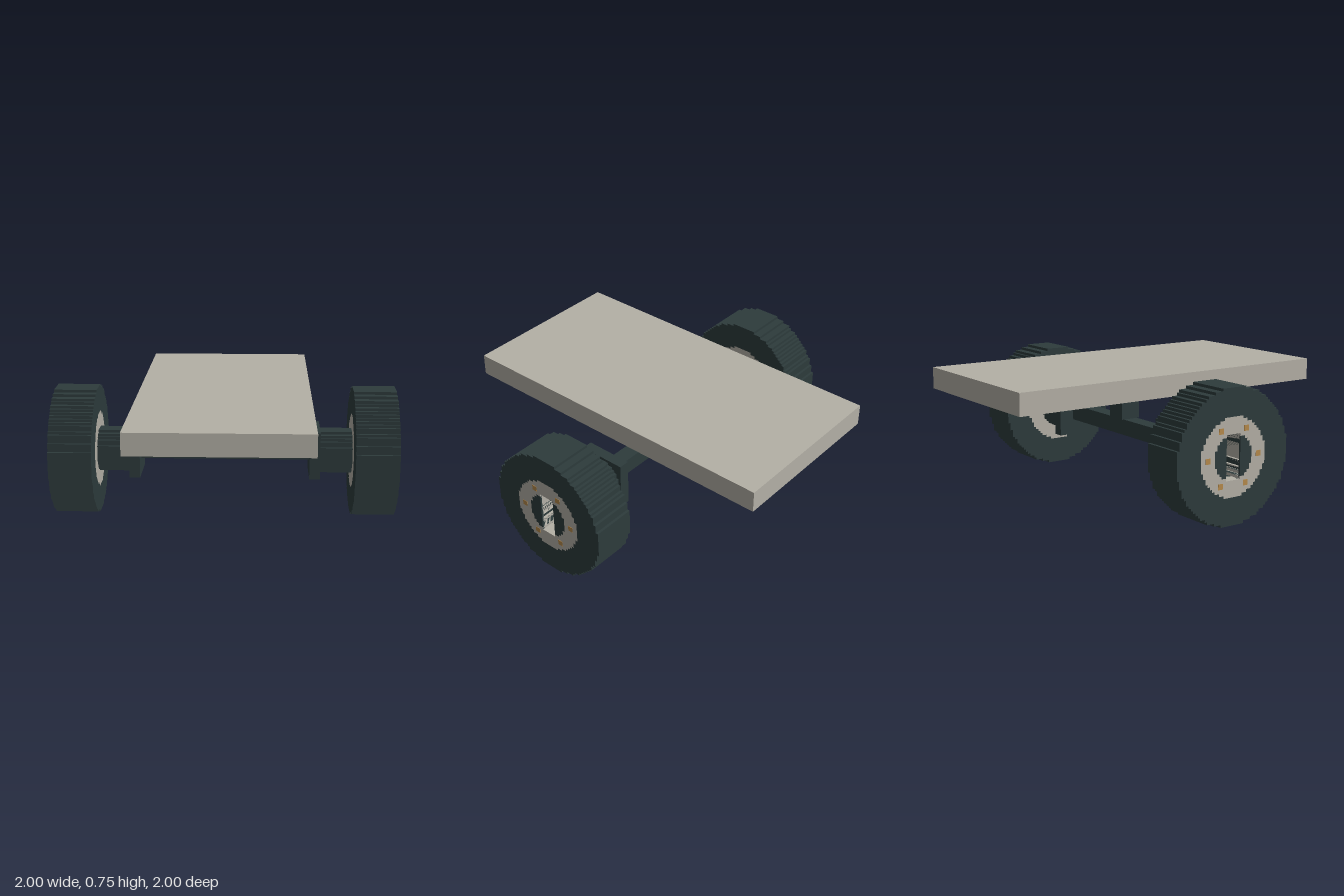
import * as THREE from 'three';

const U = 1 / 64; // block unit
const AXIS_Y = 24 * U;

const dark = new THREE.MeshStandardMaterial({ color: 0x2d3b3c, side: THREE.DoubleSide });
dark.name = 'darkRubber';
const pale = new THREE.MeshStandardMaterial({ color: 0xb4b0a6 });
pale.name = 'paleStone';
const gold = new THREE.MeshStandardMaterial({ color: 0xb58a4c });
gold.name = 'goldBolt';

function mesh(name, geometry, material) {
  const m = new THREE.Mesh(geometry, material);
  m.name = name;
  return m;
}

function box(name, w, h, d, x, y, z, material) {
  const m = mesh(name, new THREE.BoxGeometry(w, h, d), material);
  m.position.set(x, y, z);
  return m;
}

// Half outline of a stepped circle, from bottom to top; columns start at minimum half width
function stepSide(r) {
  const pts = [];
  for (let j = -r; j < r; j++) {
    const w = Math.round(Math.sqrt(r * r - (j + 0.5) ** 2));
    pts.push(new THREE.Vector2(w * U, j * U), new THREE.Vector2(w * U, (j + 1) * U));
  }
  // drop repeated and collinear points
  return pts.filter((p, i) => i === 0 || i === pts.length - 1 ||
    !(pts[i - 1].x === p.x && pts[i + 1].x === p.x) && !pts[i - 1].equals(p));
}

function steppedCircle(r) {
  const side = stepSide(r);
  return side.concat(side.map(p => new THREE.Vector2(-p.x, p.y)).reverse());
}

// Extrude a profile along x between two positions
function alongX(shape, x0, x1) {
  const g = new THREE.ExtrudeGeometry(shape, { depth: x1 - x0, bevelEnabled: false });
  return g.rotateY(Math.PI / 2).translate(x0, 0, 0);
}

function ring(outer, inner) {
  const s = new THREE.Shape(steppedCircle(outer));
  s.holes.push(new THREE.Path(steppedCircle(inner).reverse()));
  return s;
}

// Open stepped tube
function tubeAlongX(r, x0, x1) {
  const pts = steppedCircle(r), pos = [];
  pts.forEach((a, i) => {
    const b = pts[(i + 1) % pts.length];
    pos.push(x0, a.y, -a.x, x1, b.y, -b.x, x0, b.y, -b.x);
    pos.push(x0, a.y, -a.x, x1, a.y, -a.x, x1, b.y, -b.x);
  });
  const g = new THREE.BufferGeometry();
  g.setAttribute('position', new THREE.Float32BufferAttribute(pos, 3));
  g.computeVertexNormals();
  return g;
}

function wheelAssembly(name) {
  const g = new THREE.Group();
  g.name = name;
  g.add(mesh('tyre', alongX(ring(24, 14), 0.75, 1), dark));
  g.add(mesh('rim', alongX(ring(14, 8), 0.75, 1), pale));
  g.add(mesh('hubTube', tubeAlongX(8, 0.56, 1), dark));

  // Hub cap halves leave an upright slot between them
  const half = stepSide(8);
  for (const s of [-1, 1]) {
    const cap = half.map(p => new THREE.Vector2(s * p.x, p.y));
    g.add(mesh('hubCap', alongX(new THREE.Shape(cap), 0.99, 1), dark));
  }

  // Six bolts on the outer rim face
  for (let i = 0; i < 6; i++) {
    const a = i * Math.PI / 3;
    g.add(box('bolt', 0.004, 2 * U, 2 * U, 1, 11 * U * Math.sin(a), 11 * U * Math.cos(a), gold));
  }
  g.add(box('mountPlate', 4 * U, 18 * U, 18 * U, 0.53, 0, 0, dark));
  g.position.y = AXIS_Y;
  return g;
}

export function createModel() {
  const model = new THREE.Group();
  model.name = 'wheeledPlatform';
  model.add(box('platform', 1, 8 * U, 2, 0, 44 * U, 0, pale));
  model.add(box('post', 8 * U, 13 * U, 8 * U, 0, 33.5 * U, 0, dark));
  model.add(box('axle', 1, 6 * U, 6 * U, 0, AXIS_Y, 0, dark));

  const left = wheelAssembly('leftWheel');
  const right = wheelAssembly('rightWheel');
  right.rotation.y = Math.PI;
  model.add(left, right);
  return model;
}
